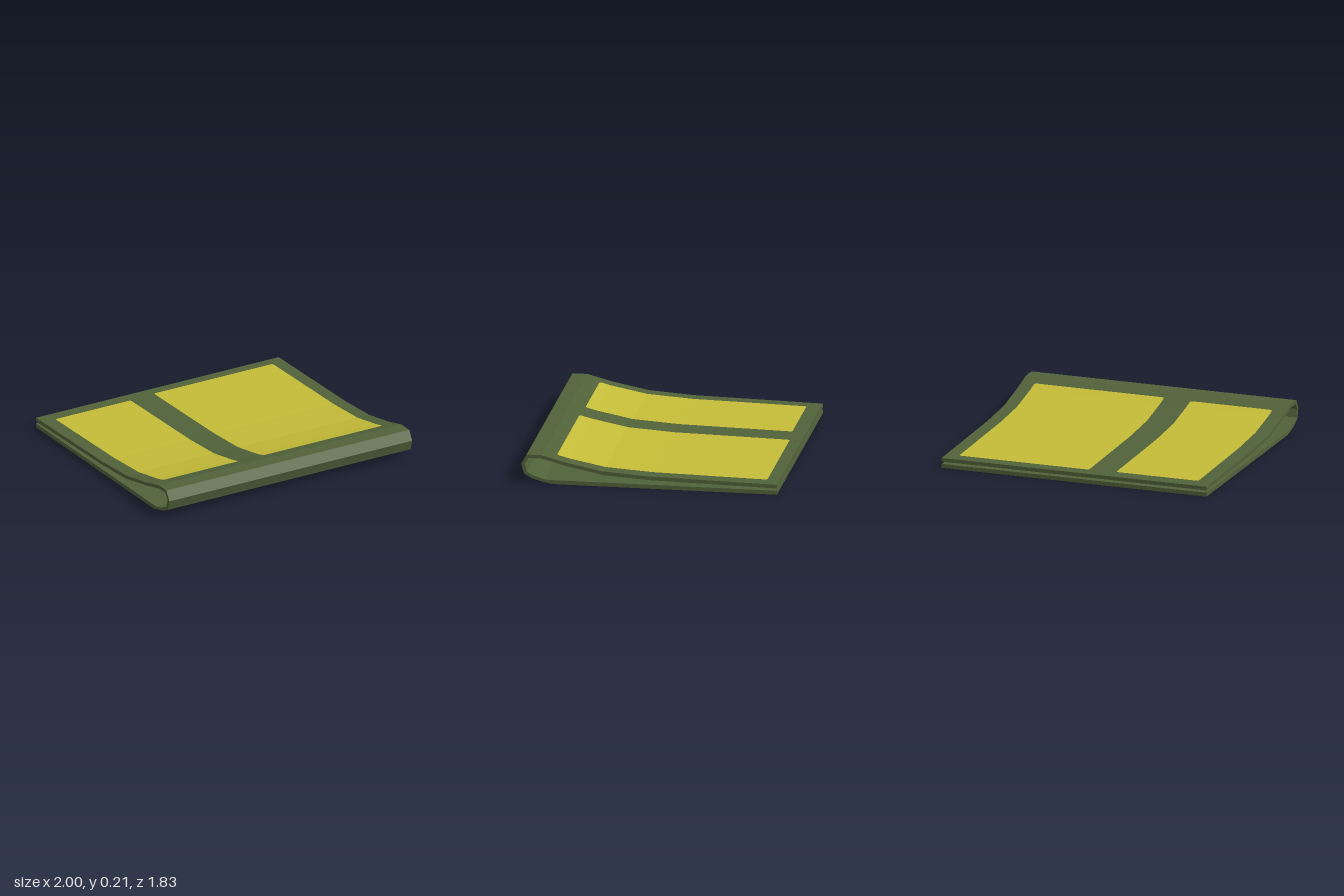
import * as THREE from 'three';

const green = new THREE.MeshStandardMaterial({ color: 0x51623a });
green.name = 'olive cloth';
const yellow = new THREE.MeshStandardMaterial({ color: 0xc4bc38, flatShading: true });
yellow.name = 'yellow panel';

// Upper face of the top flap as [z, y], from the back edge to the fold
const top = [[-0.915, 0.073], [0, 0.09], [0.327, 0.111], [0.585, 0.161], [0.77, 0.209]];

// Whole folded sheet in section: outer skin, then inner skin back again
const section = [
  [-0.915, 0], [0.695, 0], [0.765, 0.015], [0.833, 0.034], [0.895, 0.066], [0.915, 0.14], [0.875, 0.209],
  ...[...top].reverse(),
  [-0.915, 0.046], [0, 0.063], [0.322, 0.083], [0.58, 0.135], [0.77, 0.184], [0.863, 0.184],
  [0.889, 0.14], [0.873, 0.081], [0.818, 0.054], [0.745, 0.03], [0.695, 0.029], [-0.915, 0.029],
];

function heightAt(z) {
  for (let i = 1; i < top.length; i++) {
    const [z0, y0] = top[i - 1], [z1, y1] = top[i];
    if (z <= z1) return y0 + (y1 - y0) * (z - z0) / (z1 - z0);
  }
  return top[top.length - 1][1];
}

// Thin panel draped over the flap, with slightly rounded corners
function panel(name, x0, x1, z0, z1) {
  const r = 0.015;
  const rows = [[z0, r], [z0 + r * 0.3, r * 0.3], [z0 + r, 0]];
  for (const [z] of top) if (z > z0 + r && z < z1 - r) rows.push([z, 0]);
  rows.push([z1 - r, 0], [z1 - r * 0.3, r * 0.3], [z1, r]);
  const pos = [], index = [];
  rows.forEach(([z, inset], i) => {
    const y = heightAt(z) + 0.003;
    pos.push(x0 + inset, y, z, x1 - inset, y, z);
    if (i) {
      const a = 2 * i - 2;
      index.push(a, a + 2, a + 1, a + 1, a + 2, a + 3);
    }
  });
  const g = new THREE.BufferGeometry();
  g.setAttribute('position', new THREE.Float32BufferAttribute(pos, 3));
  g.setIndex(index);
  const flat = g.toNonIndexed();
  flat.computeVertexNormals();
  const mesh = new THREE.Mesh(flat, yellow);
  mesh.name = name;
  return mesh;
}

export function createModel() {
  const group = new THREE.Group();
  group.name = 'foldedSheet';

  // Sheet: section extruded across the width
  const shape = new THREE.Shape(section.map(([z, y]) => new THREE.Vector2(z, y)));
  const geo = new THREE.ExtrudeGeometry(shape, { depth: 2, bevelEnabled: false });
  geo.rotateY(-Math.PI / 2).translate(1, 0, 0);
  const sheet = new THREE.Mesh(geo, green);
  sheet.name = 'sheet';
  group.add(sheet);

  // Panels on top
  group.add(panel('rightPanel', -0.9, -0.28, -0.815, 0.665));
  group.add(panel('leftPanel', -0.08, 0.9, -0.83, 0.675));
  return group;
}
